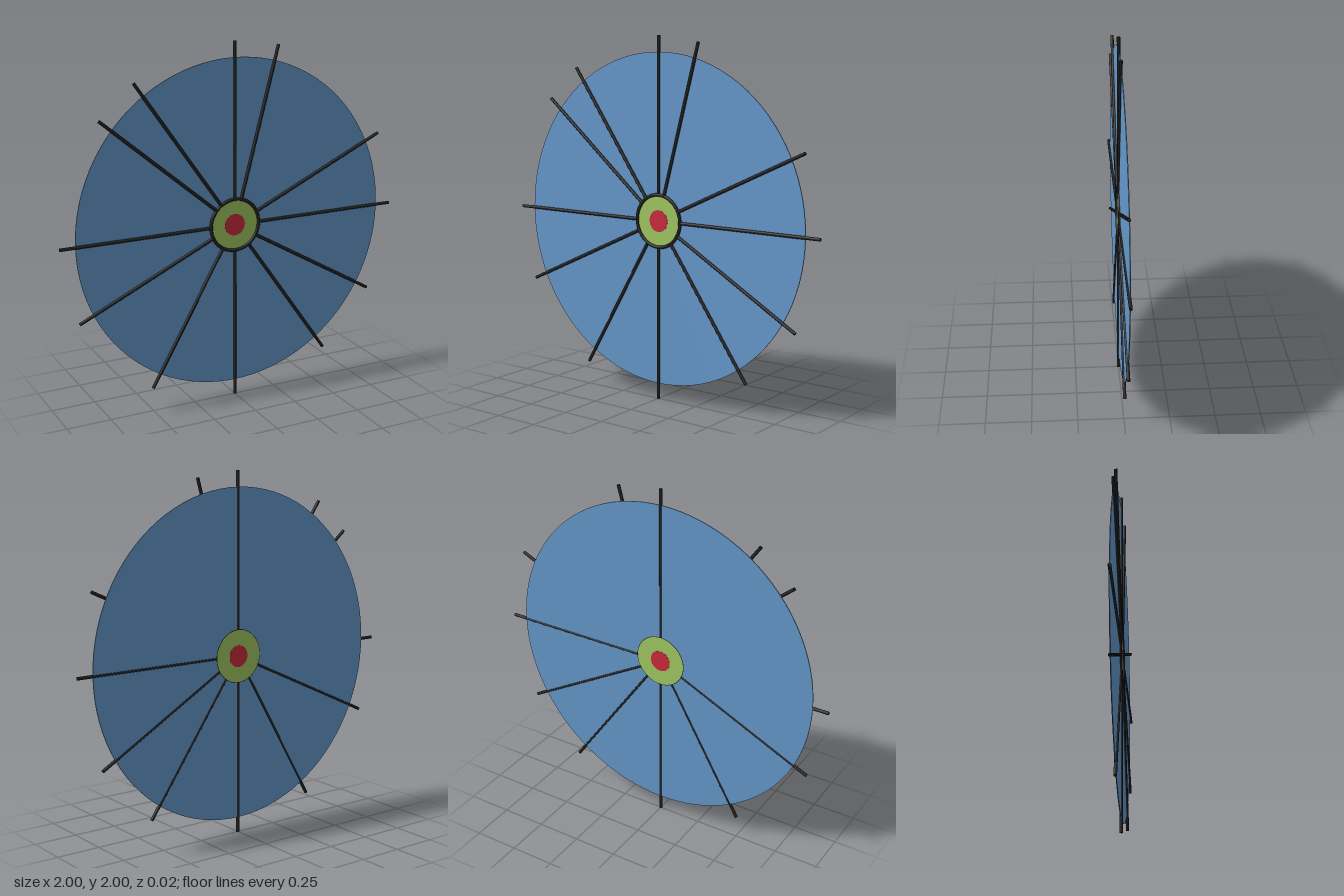
import * as THREE from 'three';

const paint = (color) => new THREE.MeshStandardMaterial({ color });

export function createModel() {
  const model = new THREE.Group();
  const wheel = new THREE.Group();
  wheel.name = 'wheel';
  wheel.position.y = 1;
  model.add(wheel);

  const dark = paint(0x222222);

  // Thin round plate between two z planes
  function plate(name, radius, back, front, color) {
    const geometry = new THREE.CylinderGeometry(radius, radius, front - back, 96);
    geometry.rotateX(Math.PI / 2);
    const mesh = new THREE.Mesh(geometry, paint(color));
    mesh.name = name;
    mesh.position.z = (back + front) / 2;
    wheel.add(mesh);
  }
  plate('disc', 0.912, -0.006, -0.001, 0x6699cc);
  plate('hub', 0.144, -0.007, 0.001, 0xa3c962);
  plate('hubCentre', 0.06, -0.008, 0.002, 0xcc2b3d);

  // Dark ring around the hub
  const ring = new THREE.Mesh(new THREE.TorusGeometry(0.144, 0.009, 12, 72), dark);
  ring.name = 'hubRing';
  ring.position.z = 0.002;
  wheel.add(ring);

  // Round spokes from ring to beyond the rim: [angle in degrees, z offset]
  const inner = 0.145, outer = 0.9985;
  const spokeGeometry = new THREE.CylinderGeometry(0.009, 0.009, outer - inner, 12);
  spokeGeometry.rotateZ(-Math.PI / 2);
  spokeGeometry.translate((inner + outer) / 2, 0, 0);
  const spokes = [
    [0, 0], [25, 0.003], [75, 0.003], [90, 0], [125, 0.003], [140, 0.003],
    [180, 0.003], [205, 0], [240, 0], [270, 0], [305, 0], [330, 0],
  ];
  for (const [degrees, z] of spokes) {
    const spoke = new THREE.Mesh(spokeGeometry, dark);
    spoke.name = 'spoke';
    spoke.rotation.z = THREE.MathUtils.degToRad(degrees);
    spoke.position.z = z;
    wheel.add(spoke);
  }
  return model;
}
